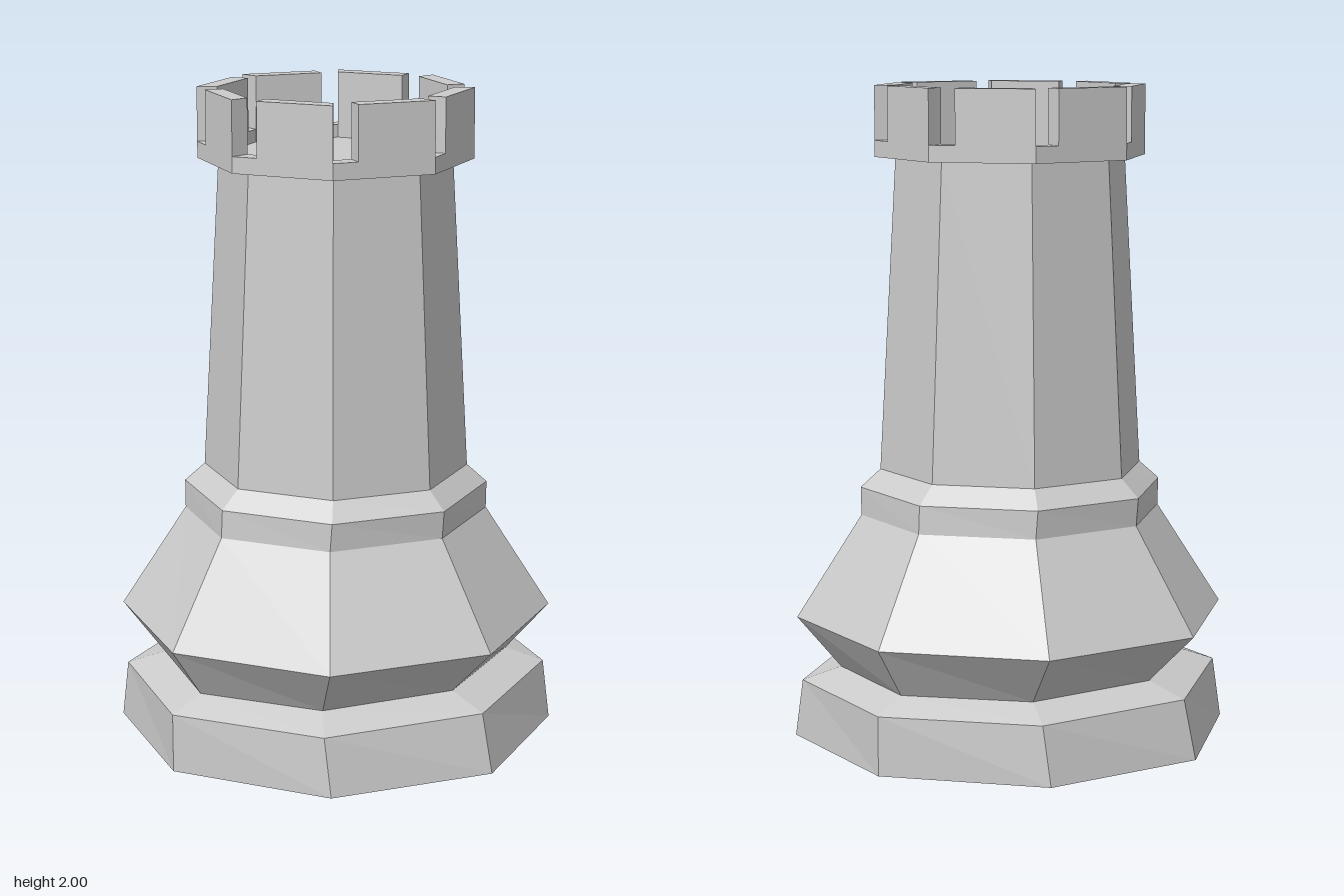
import * as THREE from 'three';

const SIDES = 8;
const material = new THREE.MeshStandardMaterial({ color: 0xcccccc, flatShading: true });

// Eight-sided turned part; each ring is [y, radius along x, radius along z]
function turned(name, rings) {
  const points = rings.map(([y, rx]) => new THREE.Vector2(rx, y));
  const lathe = new THREE.LatheGeometry(points, SIDES);
  const pos = lathe.attributes.position;
  for (let i = 0; i < pos.count; i++) {
    const [, rx, rz = rx] = rings[i % rings.length];
    if (rx > 0) pos.setZ(i, pos.getZ(i) * rz / rx);
  }
  const geometry = lathe.toNonIndexed();
  geometry.computeVertexNormals();
  const mesh = new THREE.Mesh(geometry, material);
  mesh.name = name;
  return mesh;
}

export function createModel() {
  const group = new THREE.Group();
  group.name = 'rook';

  // Foot slab, slightly pinched in x at its upper edge
  group.add(turned('foot', [
    [0, 0], [0, 0.677], [0.18, 0.635, 0.677], [0.22, 0.51, 0.566],
  ]));

  // Flared skirt and the collar above it
  group.add(turned('skirt', [
    [0.22, 0.51, 0.566], [0.375, 0.665, 0.673], [0.69, 0.46, 0.475],
    [0.775, 0.467, 0.47], [0.83, 0.407],
  ]));

  // Tapering tower
  group.add(turned('tower', [[0.83, 0.407], [1.785, 0.354]]));

  // Crown rim with a sunken floor
  const outer = 0.417, inner = 0.356, rimTop = 1.835, top = 2;
  group.add(turned('crownRim', [
    [1.785, 0.354], [1.785, outer], [rimTop, outer],
    [rimTop, inner], [1.795, inner], [1.795, 0],
  ]));

  // Merlons: one per side, with a notch beside each corner
  const corner = (r, i) => {
    const a = i * Math.PI * 2 / SIDES;
    return new THREE.Vector2(Math.sin(a) * r, -Math.cos(a) * r);
  };
  const along = corner(outer, 1).sub(corner(outer, 0)).normalize();
  const inward = new THREE.Vector2(-along.y, along.x);
  const wall = (outer - inner) * Math.cos(Math.PI / SIDES);
  const start = corner(outer, 0).addScaledVector(along, 0.079);
  const shape = new THREE.Shape([
    start, corner(outer, 1), corner(inner, 1),
    start.clone().addScaledVector(inward, wall),
  ]);
  const merlon = new THREE.ExtrudeGeometry(shape, { depth: top - rimTop, bevelEnabled: false });
  merlon.rotateX(-Math.PI / 2).translate(0, rimTop, 0);
  const battlement = new THREE.Group();
  battlement.name = 'battlement';
  for (let i = 0; i < SIDES; i++) {
    const mesh = new THREE.Mesh(merlon, material);
    mesh.name = 'merlon';
    mesh.rotation.y = i * Math.PI * 2 / SIDES;
    battlement.add(mesh);
  }
  group.add(battlement);
  return group;
}
